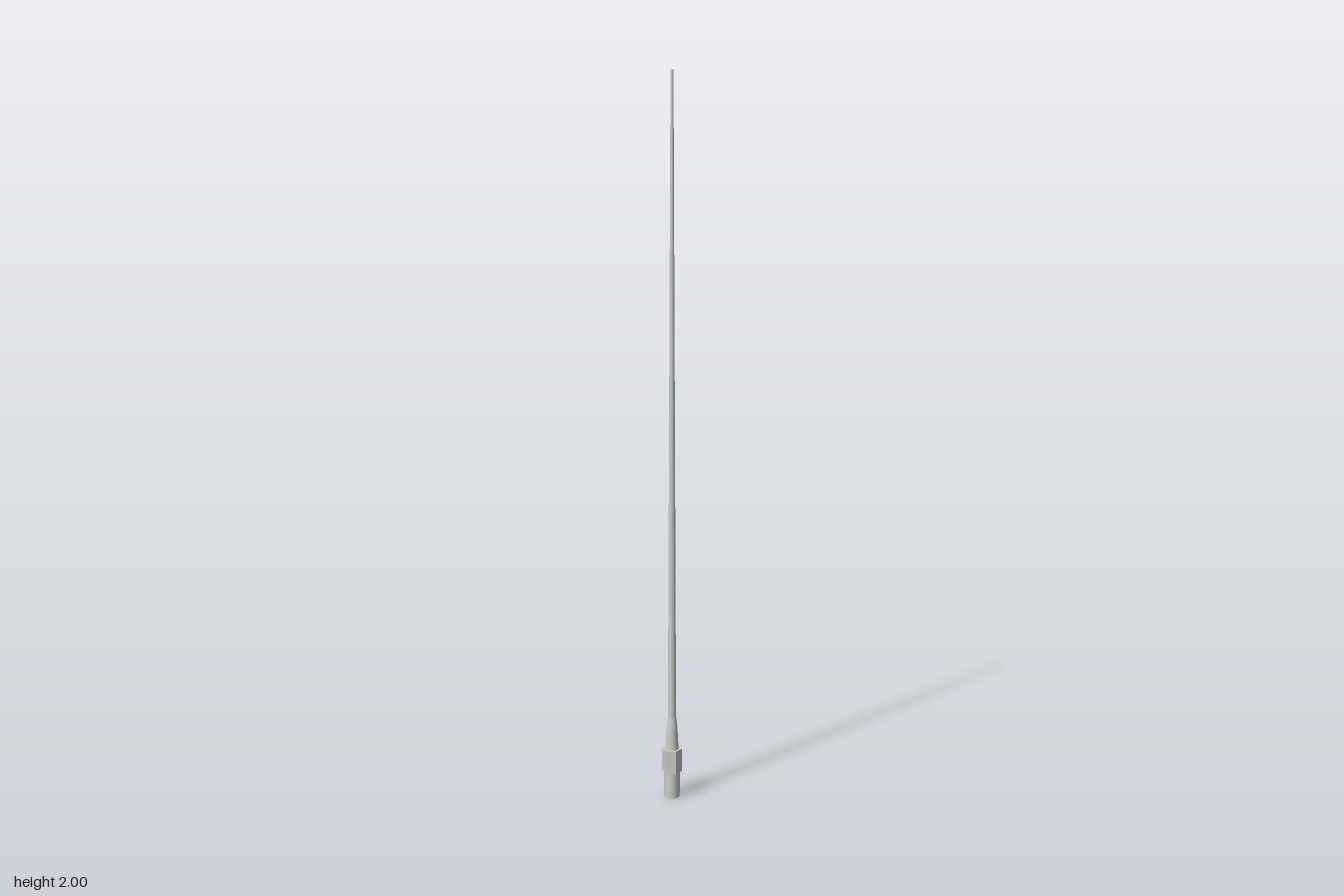
import * as THREE from 'three';

export function createModel() {
  const group = new THREE.Group();
  const material = new THREE.MeshStandardMaterial({ color: 0xcccccc });
  const flat = new THREE.MeshStandardMaterial({ color: 0xcccccc, flatShading: true });

  // Upright tapered section from y0 to y1
  function section(name, rBottom, rTop, y0, y1, sides = 24, mat = material) {
    const mesh = new THREE.Mesh(new THREE.CylinderGeometry(rTop, rBottom, y1 - y0, sides), mat);
    mesh.position.y = (y0 + y1) / 2;
    mesh.name = name;
    group.add(mesh);
  }

  // Mounting base and hexagonal nut, with corners on the z axis
  section('baseSocket', 0.022, 0.022, 0, 0.075);
  section('hexNut', 0.029, 0.029, 0.075, 0.14, 6, flat);

  // Collar narrowing towards the whip
  section('collar', 0.0185, 0.0155, 0.14, 0.2);
  section('collarTaper', 0.0155, 0.012, 0.2, 0.23);

  // Long tapered whip
  section('whip', 0.0115, 0.004, 0.23, 2, 16);

  return group;
}
